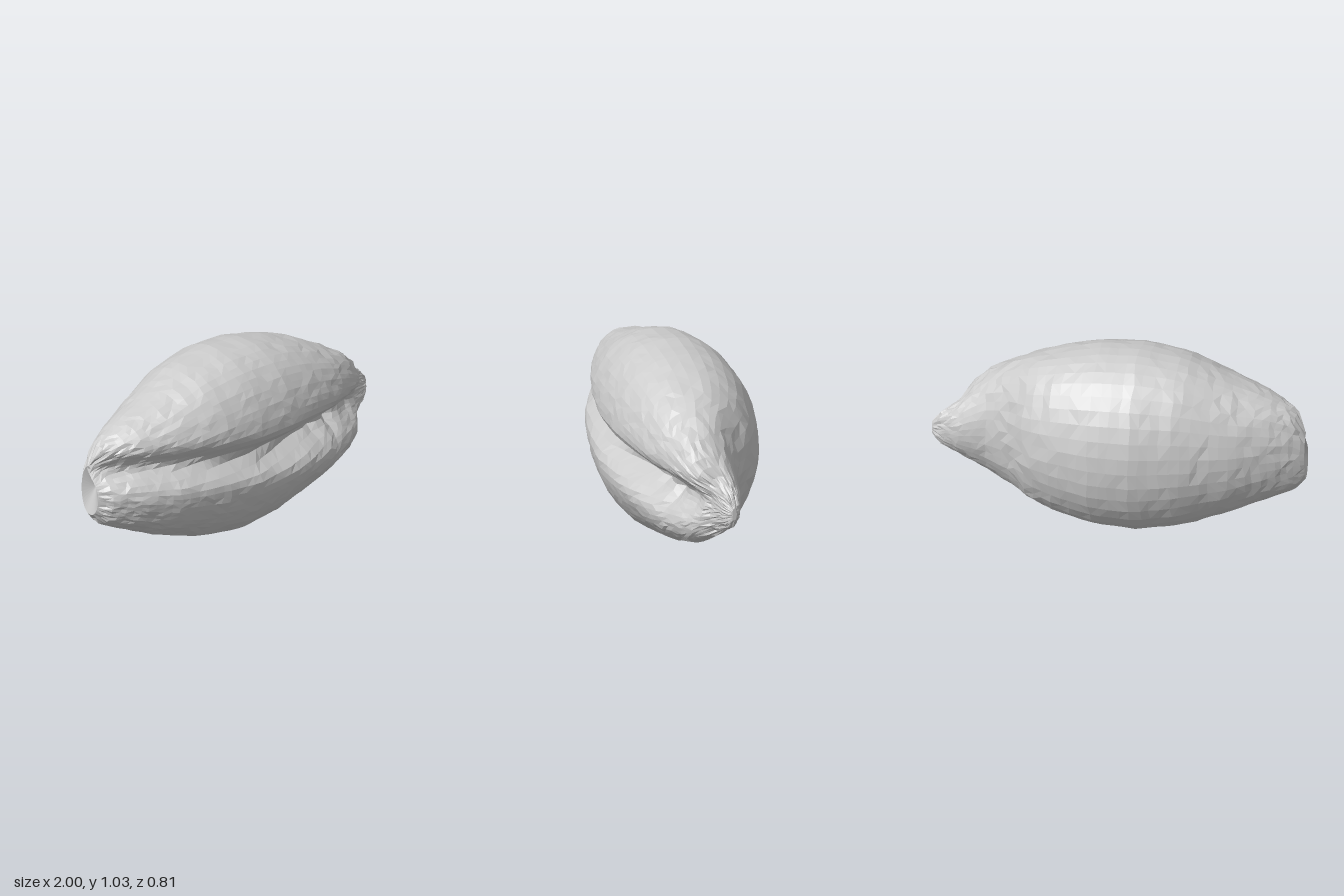
import * as THREE from 'three';

// Stations along the shell: x, bottom y, top y, back z, front z, crest z, groove depth
const STATIONS = [
  [-1.0, 0.35, 0.63, -0.06, 0.07, 0.0, 0.06],
  [-0.94, 0.28, 0.75, -0.10, 0.15, 0.01, 0.10],
  [-0.8, 0.215, 0.825, -0.175, 0.24, 0.01, 0.11],
  [-0.6, 0.125, 0.9, -0.27, 0.325, 0.01, 0.11],
  [-0.35, 0.04, 1.0, -0.36, 0.385, 0.0, 0.11],
  [-0.12, 0.0, 1.035, -0.41, 0.41, 0.0, 0.12],
  [0.1, 0.015, 1.025, -0.41, 0.405, 0.0, 0.16],
  [0.3, 0.06, 0.98, -0.36, 0.38, 0.0, 0.19],
  [0.45, 0.10, 0.925, -0.29, 0.35, 0.02, 0.19],
  [0.58, 0.15, 0.86, -0.16, 0.31, 0.06, 0.17],
  [0.7, 0.2, 0.79, -0.10, 0.26, 0.09, 0.14],
  [0.8, 0.26, 0.70, -0.09, 0.21, 0.08, 0.10],
  [0.86, 0.32, 0.62, -0.08, 0.12, 0.02, 0.04],
  [0.95, 0.37, 0.56, -0.045, 0.05, 0.0, 0.0],
  [1.0, 0.43, 0.50, -0.012, 0.012, 0.0, 0.0],
];
const RINGS = 46, SIDES = 52;

function stationAt(x) {
  let k = 0;
  while (k < STATIONS.length - 2 && x > STATIONS[k + 1][0]) k++;
  const a = STATIONS[k], b = STATIONS[k + 1];
  const f = (x - a[0]) / (b[0] - a[0]);
  return a.map((v, i) => v + (b[i] - v) * f);
}

// Repeatable noise in -1..1
function noise(i, j) {
  const s = Math.sin(i * 127.1 + j * 311.7) * 43758.5453;
  return (s - Math.floor(s)) * 2 - 1;
}

const power = (v, e) => Math.sign(v) * Math.abs(v) ** e;

// One point of the shell wall; u = 0 is the middle of the front
function shellPoint(i, j) {
  const x0 = -Math.cos(Math.PI * i / RINGS) * 0.45 + 0.55 * (2 * i / RINGS - 1);
  const [, low, high, back, front, crest, depth] = stationAt(x0);
  const u = 2 * Math.PI * j / SIDES;
  const t = u - 0.45 * Math.sin(u);
  const c = Math.cos(t), s = Math.sin(t);
  const e = c > 0 ? 0.86 : 1;
  let y = (low + high) / 2 + (high - low) / 2 * power(s, e);
  let z = crest + (c > 0 ? front - crest : crest - back) * power(c, e);

  // Long mouth: steep upper lip, lower lip that opens out towards the spire
  const flare = THREE.MathUtils.smoothstep(x0, 0.2, 0.65);
  if (c > 0) {
    const d = y - THREE.MathUtils.lerp(0.6, 0.49, THREE.MathUtils.smoothstep(x0, -0.9, 0.25));
    const width = d > 0 ? 0.085 : 0.075 + 0.05 * flare;
    const dent = Math.exp(-((d / width) ** 2));
    const teeth = 1 + 0.14 * noise(i, 7) * flare;
    z -= depth * dent * teeth * Math.min(1, c * 2);
  }

  // Small irregularities, rougher on the spire
  const rough = i === 0 || i === RINGS ? 0 : x0 > 0.55 && c < 0.3 ? 0.012 : 0.004;
  const k = 1 + rough * noise(i, j) * 1.5;
  y = 0.5 + (y - 0.5) * Math.min(k, 1.002);
  z *= k;
  const x = x0 + (i === 0 || i === RINGS ? 0 : 0.009 * noise(j, i + 50));
  return [x, Math.max(0, y), z];
}

function shellGeometry() {
  const positions = [], index = [];
  for (let i = 0; i <= RINGS; i++)
    for (let j = 0; j < SIDES; j++) positions.push(...shellPoint(i, j));
  for (let i = 0; i < RINGS; i++) {
    for (let j = 0; j < SIDES; j++) {
      const a = i * SIDES + j, b = i * SIDES + (j + 1) % SIDES;
      const c = a + SIDES, d = b + SIDES;
      if (noise(i + 3, j) > 0) index.push(a, c, b, c, d, b);
      else index.push(a, c, d, a, d, b);
    }
  }
  // Hollowed left end and pointed tip
  const end = positions.length / 3, last = RINGS * SIDES;
  positions.push(-0.95, 0.5, 0.0, 1.0, 0.465, 0);
  for (let j = 0; j < SIDES; j++) {
    const n = (j + 1) % SIDES;
    index.push(end, j, n, end + 1, last + n, last + j);
  }
  const geometry = new THREE.BufferGeometry();
  geometry.setAttribute('position', new THREE.Float32BufferAttribute(positions, 3));
  geometry.setIndex(index);
  geometry.computeVertexNormals();
  return geometry;
}

export function createModel() {
  const group = new THREE.Group();
  group.name = 'seashell';
  const material = new THREE.MeshStandardMaterial({
    color: 0xcccccc, flatShading: true, side: THREE.DoubleSide,
  });
  const shell = new THREE.Mesh(shellGeometry(), material);
  shell.name = 'shell';
  group.add(shell);
  return group;
}
